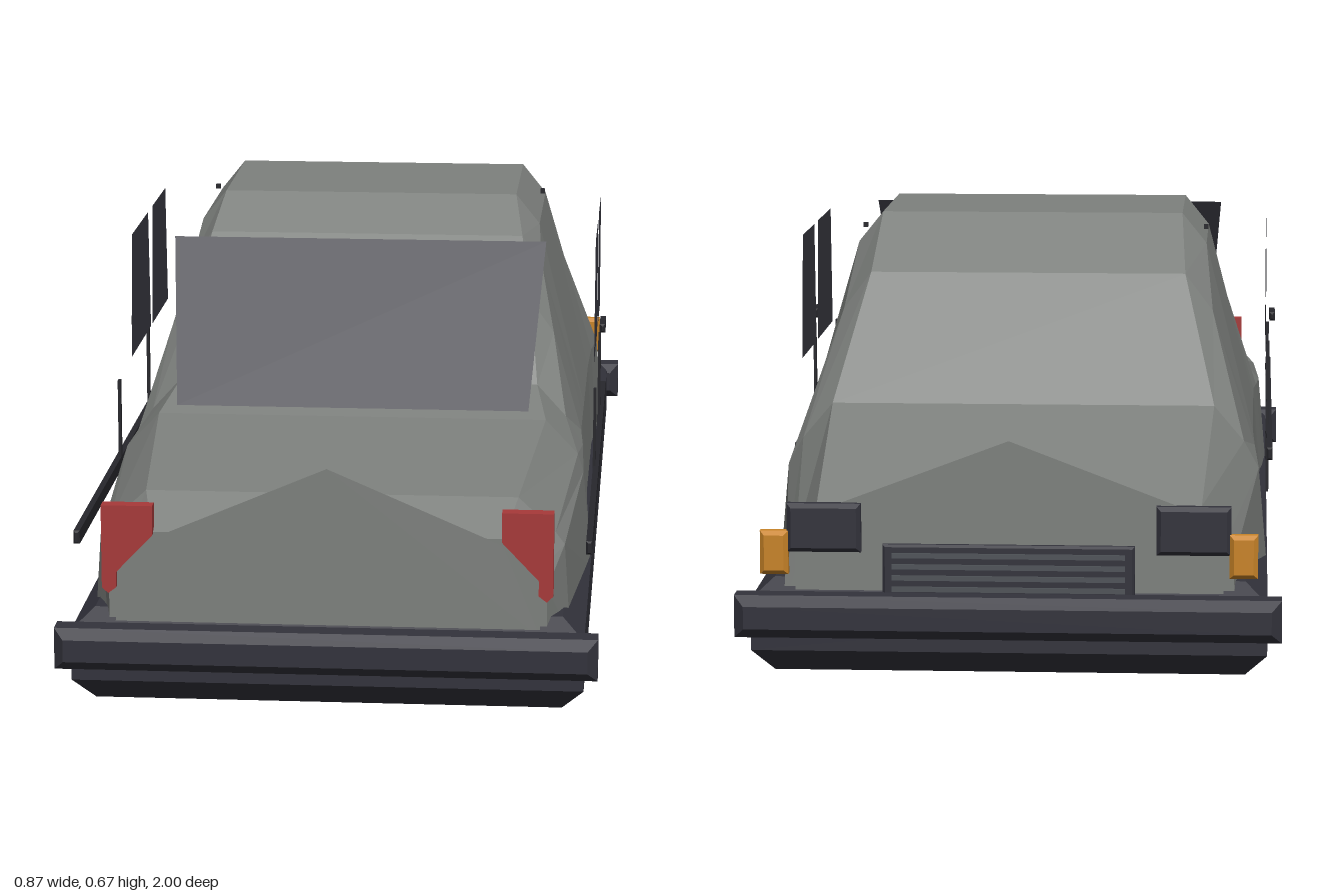
import * as THREE from 'three';

const mat = (name, color, side = THREE.FrontSide) => {
  const m = new THREE.MeshStandardMaterial({ color, side, flatShading: true });
  m.name = name;
  return m;
};

// Skin a stack of equal-length rings and close both ends
function loft(rings) {
  const n = rings[0].length, index = [], last = (rings.length - 1) * n;
  for (let r = 0; r < rings.length - 1; r++) {
    for (let i = 0; i < n; i++) {
      const a = r * n + i, b = r * n + (i + 1) % n;
      index.push(a, b, b + n, a, b + n, a + n);
    }
  }
  for (let i = 1; i < n - 1; i++) index.push(0, i + 1, i, last, last + i, last + i + 1);
  return finish(rings.flat(2), index);
}

// Flat convex panel from its corners
function panel(points) {
  const index = [];
  for (let i = 1; i < points.length - 1; i++) index.push(0, i, i + 1);
  return finish(points.flat(), index);
}

function finish(positions, index) {
  const g = new THREE.BufferGeometry();
  g.setAttribute('position', new THREE.Float32BufferAttribute(positions, 3));
  g.setIndex(index);
  const flat = g.toNonIndexed();
  flat.computeVertexNormals();
  return flat;
}

// Box with every edge chamfered by c
function chamferBox(w, h, d, c) {
  const x = w / 2 - c, y = h / 2 - c;
  const shape = new THREE.Shape([[-x, -y], [x, -y], [x, y], [-x, y]].map(p => new THREE.Vector2(...p)));
  const g = new THREE.ExtrudeGeometry(shape, {
    depth: d - 2 * c, bevelEnabled: true, bevelSize: c, bevelThickness: c, bevelSegments: 1,
  });
  return g.translate(0, 0, c - d / 2);
}

export function createModel() {
  const car = new THREE.Group();
  car.name = 'car';
  const paint = mat('body grey', 0x7e817e);
  const panelPaint = mat('end panel grey', 0x7e817e, THREE.DoubleSide);
  const rubber = mat('bumper charcoal', 0x33333c);
  const glass = mat('window glass', 0x3c3c45, THREE.DoubleSide);
  const trim = mat('trim black', 0x27272c);
  const red = mat('light red', 0xa83a3a);
  const amber = mat('light amber', 0xc98428);
  const slatGrey = mat('grille grey', 0x505459);

  const add = (name, geometry, material, x = 0, y = 0, z = 0) => {
    const m = new THREE.Mesh(geometry, material);
    m.name = name;
    m.position.set(x, y, z);
    car.add(m);
    return m;
  };

  // Painted shell: z, base x, belt x/y, shoulder x/y, top x/y
  const stations = [
    [-0.935, 0.36, 0.355, 0.18, 0.34, 0.21, 0.305, 0.273],
    [-0.556, 0.41, 0.395, 0.27, 0.37, 0.315, 0.32, 0.374],
    [-0.41, 0.40, 0.388, 0.285, 0.315, 0.515, 0.268, 0.578],
    [-0.27, 0.395, 0.385, 0.285, 0.302, 0.615, 0.26, 0.667],
    [0.037, 0.395, 0.385, 0.285, 0.302, 0.615, 0.26, 0.667],
    [0.13, 0.397, 0.385, 0.285, 0.31, 0.56, 0.275, 0.61],
    [0.23, 0.40, 0.385, 0.285, 0.335, 0.46, 0.295, 0.515],
    [0.315, 0.405, 0.39, 0.28, 0.36, 0.33, 0.31, 0.385],
    [0.46, 0.41, 0.395, 0.27, 0.385, 0.30, 0.33, 0.358],
    [0.85, 0.385, 0.375, 0.25, 0.36, 0.27, 0.30, 0.326],
    [0.935, 0.35, 0.35, 0.20, 0.335, 0.225, 0.28, 0.28],
  ];
  add('bodyShell', loft(stations.map(([z, bx, mx, my, sx, sy, tx, ty]) => {
    const half = [[bx, 0.1, z], [mx, my, z], [sx, sy, z], [tx, ty, z]];
    return [...half, ...half.map(([x, y]) => [-x, y, z]).reverse()];
  })), paint);

  // Peaked flat panels closing the two ends
  const endPanel = (z, half, peak) => panel([
    ...half.map(([x, y]) => [x, y, z]), [0, peak, z],
    ...half.map(([x, y]) => [-x, y, z]).reverse(),
  ]);
  add('trunkPanel', endPanel(0.94, [[0.34, 0.12], [0.335, 0.22], [0.28, 0.27]], 0.39), panelPaint);
  add('nosePanel', endPanel(-0.94, [[0.34, 0.12], [0.34, 0.235], [0.29, 0.265]], 0.375), panelPaint);

  // Chamfered floor block
  add('base', loft([[0, 0.375, 0.925], [0.037, 0.41, 0.955], [0.12, 0.41, 0.955], [0.15, 0.375, 0.92]]
    .map(([y, x, z]) => [[x, y, z], [x, y, -z], [-x, y, -z], [-x, y, z]])), rubber);

  // Bumpers
  for (const s of [1, -1]) {
    add(s > 0 ? 'rearBumper' : 'noseBumper', chamferBox(0.865, 0.068, 0.068, 0.016), rubber, 0, 0.098, s * 0.966);
  }

  // Windscreen plate
  add('windscreen', panel([[-0.30, 0.37, 0.45], [0.30, 0.37, 0.45], [0.322, 0.63, 0.28], [-0.322, 0.63, 0.28]]), glass);

  const windows = [
    [[0.24, 0.405], [-0.01, 0.405], [0.01, 0.62], [0.22, 0.62]],
    [[-0.03, 0.405], [-0.25, 0.405], [-0.23, 0.62], [-0.05, 0.62]],
  ];
  const tailOutline = [[0.35, 0.18], [0.36, 0.19], [0.36, 0.325], [0.278, 0.325], [0.278, 0.277], [0.337, 0.215], [0.337, 0.19]];

  for (const s of [1, -1]) {
    const side = s > 0 ? 'left' : 'right';
    // Side windows
    windows.forEach((w, i) => {
      const corners = w.map(([z, y]) => [s * 0.406, y, z]);
      add(`${side}Window${i + 1}`, panel(s > 0 ? corners : corners.reverse()), glass);
    });
    // Side strip, door seams and handle
    add(`${side}SideStrip`, chamferBox(0.01, 0.022, 1.125, 0.003), trim, s * 0.414, 0.245, 0.292);
    add(`${side}DoorSeam1`, new THREE.BoxGeometry(0.005, 0.26, 0.011), trim, s * 0.411, 0.262, 0.365);
    add(`${side}DoorSeam2`, new THREE.BoxGeometry(0.005, 0.275, 0.011), trim, s * 0.411, 0.27, -0.007);
    add(`${side}DoorHandle`, chamferBox(0.01, 0.016, 0.072, 0.004), trim, s * 0.418, 0.444, 0.09);
    add(`${side}RoofStud`, new THREE.BoxGeometry(0.008, 0.008, 0.008), trim, s * 0.3, 0.634, -0.18);
    // Tail light
    const outline = new THREE.Shape(tailOutline.map(([x, y]) => new THREE.Vector2(s * x, y)));
    add(`${side}TailLight`, new THREE.ExtrudeGeometry(outline, { depth: 0.024, bevelEnabled: false }), red, 0, 0, 0.922);
    // Headlight and turn signal
    add(`${side}Headlight`, chamferBox(0.118, 0.078, 0.026, 0.007), rubber, s * 0.293, 0.235, -0.943);
    add(`${side}TurnSignal`, chamferBox(0.045, 0.07, 0.026, 0.007), amber, s * 0.372, 0.195, -0.945);
  }

  // Grille with slats
  add('grille', chamferBox(0.4, 0.088, 0.016, 0.004), rubber, 0, 0.165, -0.943);
  for (let i = 0; i < 4; i++) {
    add('grilleSlat', new THREE.BoxGeometry(0.37, 0.008, 0.008), slatGrey, 0, 0.138 + i * 0.018, -0.951);
  }
  return car;
}
